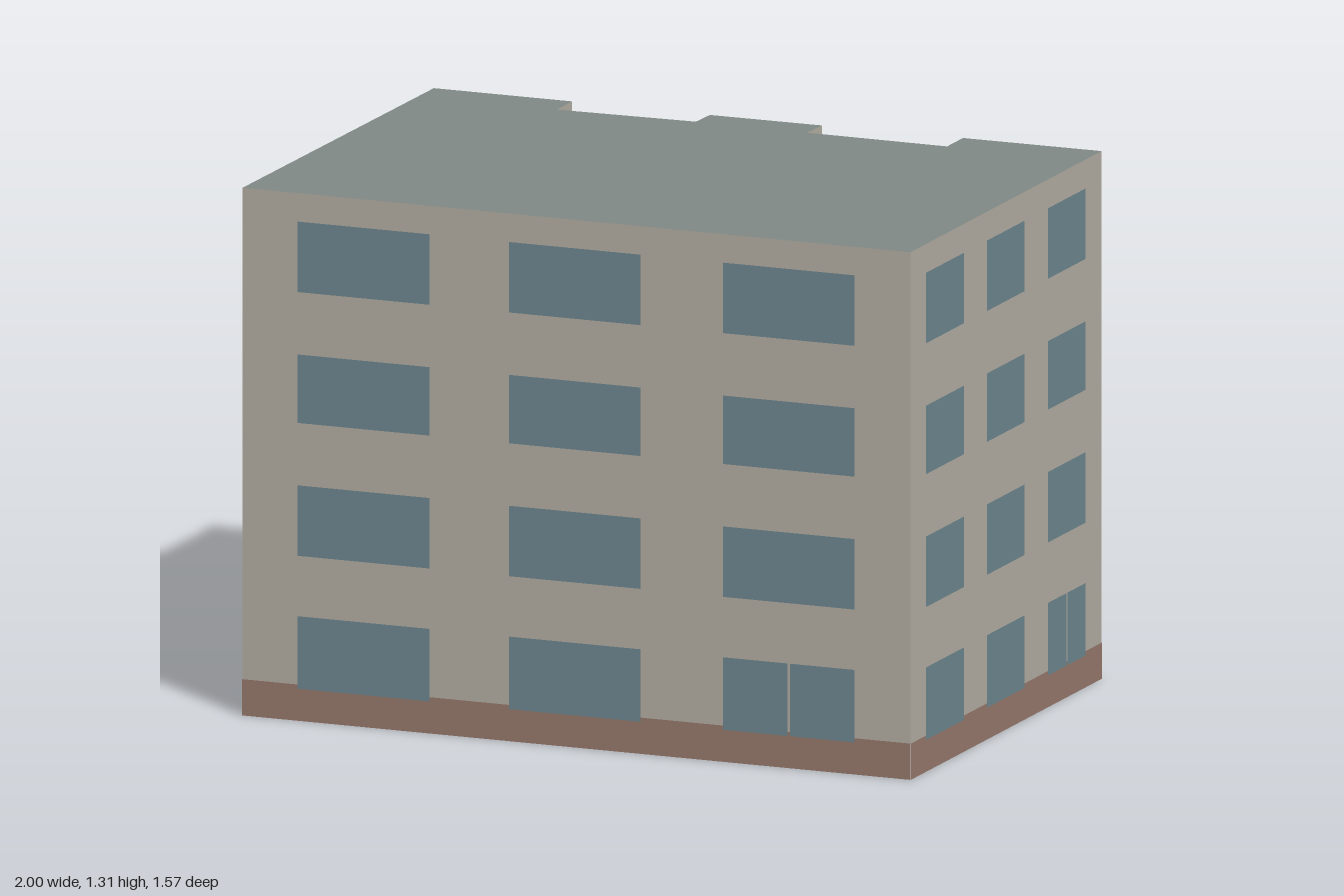
import * as THREE from 'three';

const HEIGHT = 1.31, PLINTH = 0.09, GAP = 0.006;
const FLOORS = [[0.08, 0.26], [0.41, 0.585], [0.74, 0.91], [1.065, 1.24]];

// Footprint corners (x, z), counter-clockwise seen from above
const FOOTPRINT = [
  [-1, 0.34], [0.7, 0.783], [0.997, -0.356],
  [0.645, -0.445], [0.62, -0.35], [0.264, -0.445],
  [0.288, -0.527], [0.003, -0.598], [-0.02, -0.522],
  [-0.372, -0.6], [-0.348, -0.692], [-0.7, -0.783],
];
const WIDE = [[0.083, 0.281], [0.4, 0.597], [0.72, 0.917]];
const BACK = { plinth: true, columns: [[0.24, 0.77]], split: () => true };
const JOG = { plinth: false, columns: [] };
const door = (floor, column) => floor === 0 && column === 2;

// One entry per wall, starting with the front
const WALLS = [
  { name: 'front', plinth: true, columns: WIDE, split: door },
  { name: 'left', plinth: true, columns: WIDE.map(([a, b]) => [a - 0.006, b - 0.006]), split: door },
  { name: 'back', ...BACK }, { name: 'jog', ...JOG },
  { name: 'back', ...BACK }, { name: 'jog', ...JOG },
  { name: 'back', ...BACK }, { name: 'jog', ...JOG },
  { name: 'back', ...BACK }, { name: 'jog', ...JOG },
  { name: 'back', ...BACK },
  { name: 'right', plinth: true, columns: WIDE, split: () => false },
];

export function createModel() {
  const paint = (color, side = THREE.FrontSide) => new THREE.MeshStandardMaterial({ color, side });
  const wallPaint = paint(0xb5b0a4, THREE.DoubleSide);
  const roofPaint = paint(0x808a86, THREE.DoubleSide);
  const plinthPaint = paint(0x987a6d);
  const glassPaint = paint(0x6f8892);

  const building = new THREE.Group();
  building.name = 'apartmentBlock';

  // Flat rectangle in the plane of a wall
  function panel(parent, name, material, x0, x1, y0, y1, offset) {
    const mesh = new THREE.Mesh(new THREE.PlaneGeometry(x1 - x0, y1 - y0), material);
    mesh.position.set((x0 + x1) / 2, (y0 + y1) / 2, offset);
    mesh.name = name;
    parent.add(mesh);
  }

  // Walls with plinth and windows
  WALLS.forEach((wall, i) => {
    const [ax, az] = FOOTPRINT[i];
    const [bx, bz] = FOOTPRINT[(i + 1) % FOOTPRINT.length];
    const length = Math.hypot(bx - ax, bz - az);
    const side = new THREE.Group();
    side.name = `${wall.name}Side`;
    side.position.set(ax, 0, az);
    side.rotation.y = Math.atan2(az - bz, bx - ax);
    building.add(side);

    panel(side, 'wall', wallPaint, 0, length, 0, HEIGHT, 0);
    if (wall.plinth) panel(side, 'plinth', plinthPaint, 0, length, 0, PLINTH, 0.0015);

    FLOORS.forEach(([y0, y1], floor) => wall.columns.forEach(([t0, t1], column) => {
      const x0 = t0 * length, x1 = t1 * length, mid = (x0 + x1) / 2;
      if (wall.split(floor, column)) {
        panel(side, 'windowPane', glassPaint, x0, mid - GAP / 2, y0, y1, 0.003);
        panel(side, 'windowPane', glassPaint, mid + GAP / 2, x1, y0, y1, 0.003);
      } else {
        panel(side, 'window', glassPaint, x0, x1, y0, y1, 0.003);
      }
    }));
  });

  // Flat roof; the underside of the block stays open
  const outline = new THREE.Shape(FOOTPRINT.map(([x, z]) => new THREE.Vector2(x, -z)));
  const roof = new THREE.Mesh(new THREE.ShapeGeometry(outline).rotateX(-Math.PI / 2), roofPaint);
  roof.position.y = HEIGHT;
  roof.name = 'roof';
  building.add(roof);

  return building;
}
